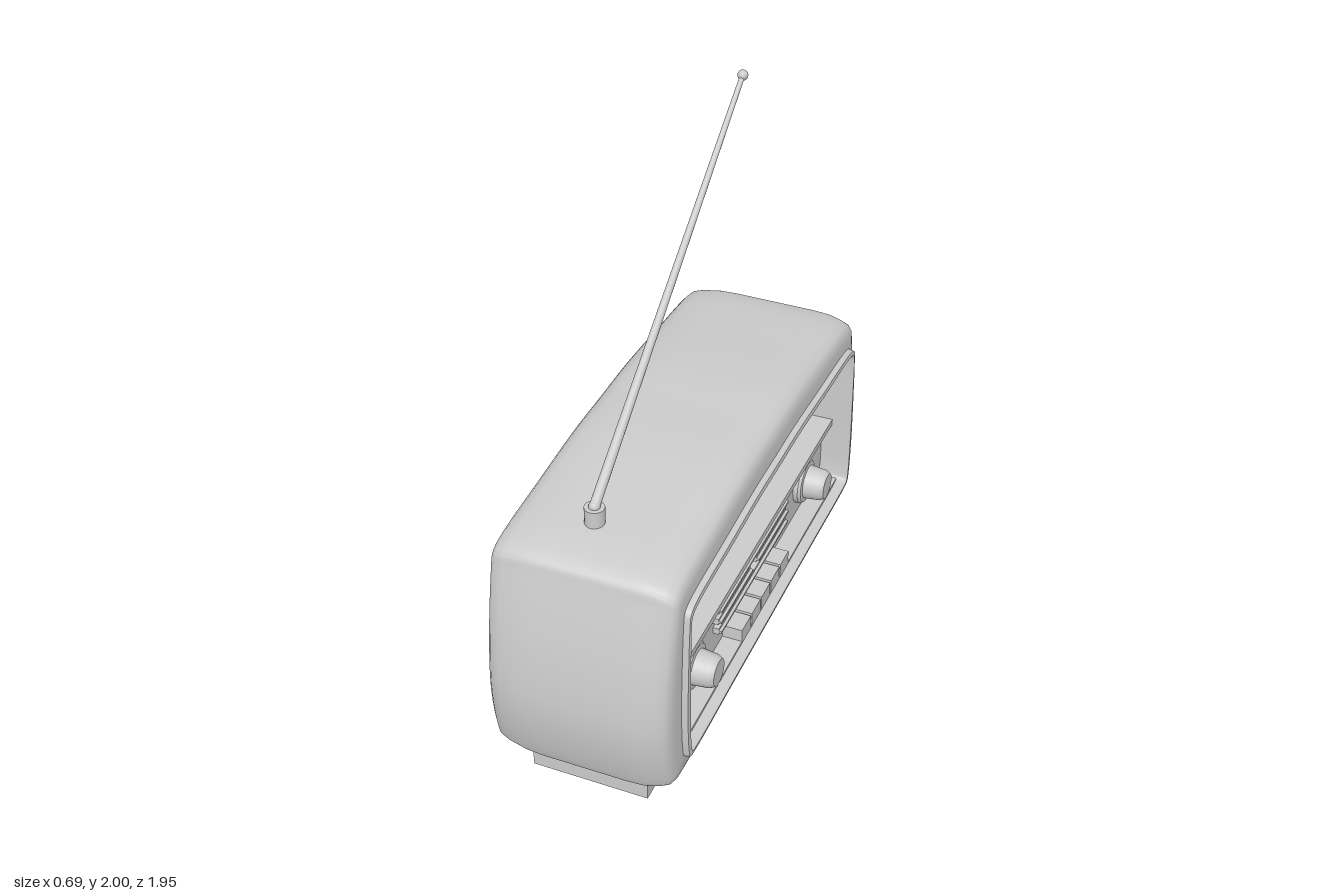
import * as THREE from 'three';
import { toCreasedNormals } from 'three/addons/utils/BufferGeometryUtils.js';

const material = new THREE.MeshStandardMaterial({ color: 0xcccccc, side: THREE.DoubleSide });

function add(parent, name, geometry, x = 0, y = 0, z = 0) {
  const mesh = new THREE.Mesh(geometry, material);
  mesh.name = name;
  mesh.position.set(x, y, z);
  parent.add(mesh);
  return mesh;
}

// Closed smooth loop, mirrored from the half with x >= 0 (bottom centre to top centre)
function loop(half, samples) {
  const mirrored = half.slice(1, -1).reverse().map(([x, y]) => [-x, y]);
  const points = [...half, ...mirrored].map(([x, y]) => new THREE.Vector3(x, y, 0));
  const curve = new THREE.CatmullRomCurve3(points, true, 'centripetal');
  return Array.from({ length: samples }, (_, i) => curve.getPoint(i / samples));
}

// Cabinet: rings blended between the outer outline (t = 0) and the window (t = 1)
function cabinetGeometry() {
  const n = 144;
  const outer = loop([[0, 0.085], [0.5, 0.085], [0.87, 0.085], [0.92, 0.1], [0.942, 0.15],
    [0.973, 0.35], [0.95, 0.6], [0.885, 0.87], [0.868, 0.92], [0.82, 0.945],
    [0.5, 0.98], [0.22, 1.0], [0, 1.0]], n);
  const inner = loop([[0, 0.205], [0.4, 0.205], [0.76, 0.205], [0.795, 0.212], [0.805, 0.25],
    [0.81, 0.38], [0.81, 0.55], [0.807, 0.76], [0.8, 0.795], [0.765, 0.813],
    [0.45, 0.83], [0.2, 0.842], [0, 0.842]], n);
  // [depth, blend, scale about the centre]
  const rings = [[-0.35, 1, 0], [-0.35, 1, 1], [-0.348, 0.6, 1], [-0.34, 0.3, 1], [-0.325, 0.18, 1],
    [-0.29, 0.1, 1], [-0.22, 0.02, 1], [-0.16, 0, 1], [0.16, 0, 1], [0.22, 0.02, 1],
    [0.27, 0.1, 1], [0.3, 0.18, 1], [0.314, 0.3, 1], [0.32, 0.5, 1], [0.322, 0.8, 1],
    [0.343, 0.83, 1], [0.345, 0.95, 1], [0.335, 1, 1], [0.14, 1.03, 1]];
  const position = [], index = [];
  const p = new THREE.Vector3(), centre = new THREE.Vector3(0, 0.5, 0);
  rings.forEach(([z, t, s], i) => {
    for (let j = 0; j < n; j++) {
      p.lerpVectors(outer[j], inner[j], t).sub(centre).multiplyScalar(s).add(centre);
      position.push(p.x, p.y, z);
      if (i === rings.length - 1) continue;
      const a = i * n + j, b = i * n + (j + 1) % n;
      if (s > 0) index.push(a, b, b + n);
      index.push(a, b + n, a + n);
    }
  });
  const geometry = new THREE.BufferGeometry();
  geometry.setAttribute('position', new THREE.Float32BufferAttribute(position, 3));
  geometry.setIndex(index);
  return toCreasedNormals(geometry, 0.7);
}

// Plate with five upright rounded slots
function slottedPlate() {
  const shape = new THREE.Shape();
  shape.moveTo(-0.155, 0.47).lineTo(0.155, 0.47).lineTo(0.155, 0.835).lineTo(-0.155, 0.835).closePath();
  for (let i = -2; i <= 2; i++) {
    const x = i * 0.043, r = 0.013;
    const hole = new THREE.Path();
    hole.absarc(x, 0.76, r, 0, Math.PI);
    hole.absarc(x, 0.545, r, Math.PI, Math.PI * 2);
    hole.closePath();
    shape.holes.push(hole);
  }
  return new THREE.ExtrudeGeometry(shape, { depth: 0.03, bevelEnabled: false, curveSegments: 8 });
}

function knob() {
  const profile = [[0, 0], [0.09, 0], [0.09, 0.018], [0.082, 0.028], [0.066, 0.03],
    [0.06, 0.09], [0.05, 0.108], [0, 0.108]].map(([r, y]) => new THREE.Vector2(r, y));
  const geometry = toCreasedNormals(new THREE.LatheGeometry(profile, 32), 0.5);
  return geometry.rotateX(Math.PI / 2);
}

export function createModel() {
  const model = new THREE.Group();
  model.name = 'radio';
  // Built facing +z, then turned so that the dial side faces +x
  const radio = new THREE.Group();
  radio.name = 'radioBody';
  radio.rotation.y = Math.PI / 2;
  model.add(radio);

  add(radio, 'cabinet', cabinetGeometry());
  add(radio, 'base', new THREE.BoxGeometry(1.77, 0.1, 0.43), 0.005, 0.05, -0.003);

  // Speaker grille: backing, upright slats and thin cross wires
  const grille = new THREE.Group();
  grille.name = 'speakerGrille';
  radio.add(grille);
  add(grille, 'grilleBacking', new THREE.BoxGeometry(1.66, 0.42, 0.02), 0, 0.65, 0.14);
  const slat = new THREE.BoxGeometry(0.037, 0.38, 0.018);
  for (let i = -16; i <= 16; i++) {
    if (Math.abs(i * 0.05 + 0.02) > 0.16) add(grille, 'slat', slat, i * 0.05, 0.65, 0.159);
  }
  const wire = new THREE.BoxGeometry(1.62, 0.018, 0.012);
  for (let i = 0; i < 9; i++) add(grille, 'crossWire', wire, 0, 0.51 + i * 0.036, 0.154);
  add(grille, 'slottedPlate', slottedPlate(), -0.02, 0, 0.15);

  // Control panel and the ledge above it
  add(radio, 'controlPanel', new THREE.BoxGeometry(1.63, 0.28, 0.09), 0, 0.325, 0.185);
  add(radio, 'ledge', new THREE.BoxGeometry(1.62, 0.026, 0.13), 0, 0.467, 0.205);
  add(radio, 'lowerTrim', new THREE.BoxGeometry(1.58, 0.015, 0.09), 0, 0.207, 0.26);

  // Dial strips: [centre, height, length]
  for (const [x, y, w] of [[0, 0.415, 0.675], [-0.185, 0.367, 0.31], [0.185, 0.367, 0.31], [0, 0.32, 0.675]]) {
    add(radio, 'dialStrip', new THREE.BoxGeometry(w, 0.026, 0.025), x, y, 0.24);
    add(radio, 'dialStripRidge', new THREE.BoxGeometry(w, 0.009, 0.015), x, y, 0.256);
  }

  const knobGeometry = knob();
  for (const x of [-0.55, 0.57]) add(radio, 'knob', knobGeometry, x, 0.342, 0.23);

  const key = new THREE.BoxGeometry(0.086, 0.052, 0.08);
  for (let i = -2; i <= 2; i++) add(radio, 'pushButton', key, -0.005 + i * 0.098, 0.24, 0.265);

  // Antenna: socket, tapered rod and tip
  const antenna = new THREE.Group();
  antenna.name = 'antenna';
  radio.add(antenna);
  const start = new THREE.Vector3(-0.665, 1.03, -0.055);
  const end = new THREE.Vector3(0.613, 1.98, -0.055);
  add(antenna, 'antennaSocket', new THREE.CylinderGeometry(0.035, 0.035, 0.065, 24), start.x, 0.995, start.z);
  add(antenna, 'antennaJoint', new THREE.SphereGeometry(0.02, 16, 12), start.x, start.y, start.z);
  const direction = end.clone().sub(start);
  const rod = add(antenna, 'antennaRod', new THREE.CylinderGeometry(0.009, 0.018, direction.length(), 16));
  rod.position.copy(start).lerp(end, 0.5);
  rod.quaternion.setFromUnitVectors(new THREE.Vector3(0, 1, 0), direction.normalize());
  add(antenna, 'antennaTip', new THREE.SphereGeometry(0.019, 16, 12), end.x, end.y, end.z);

  return model;
}
